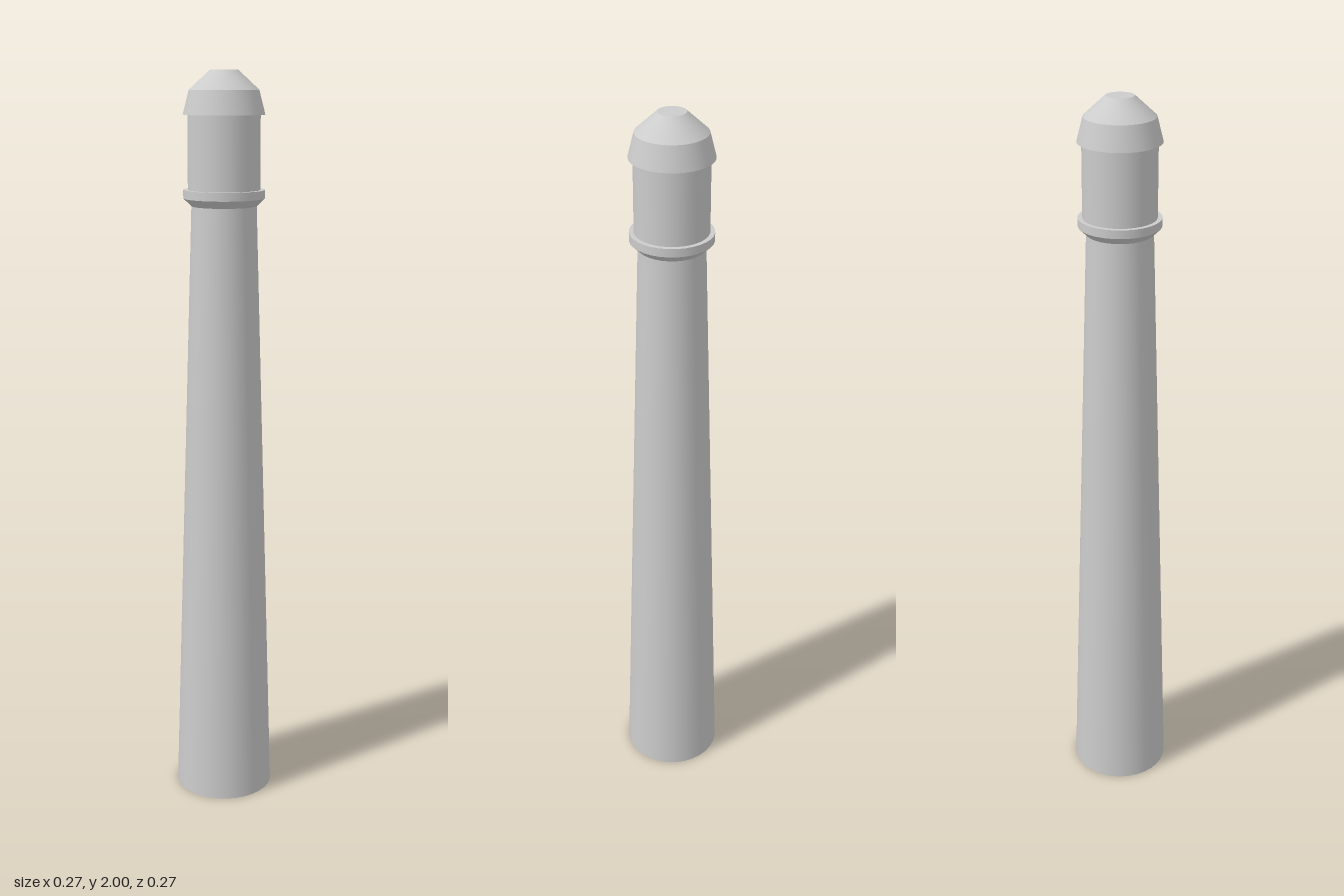
import * as THREE from 'three';
import { mergeGeometries } from 'three/addons/utils/BufferGeometryUtils.js';

const SIDES = 32;

// Turned part: one smooth band per profile step, with crisp edges between bands.
// A zero radius closes the part with a flat disc.
function turned(name, profile, material) {
  const bands = [];
  for (let i = 0; i < profile.length - 1; i++) {
    const pair = [profile[i], profile[i + 1]].map(([r, y]) => new THREE.Vector2(r, y));
    bands.push(new THREE.LatheGeometry(pair, SIDES));
  }
  const mesh = new THREE.Mesh(mergeGeometries(bands), material);
  mesh.name = name;
  return mesh;
}

export function createModel() {
  const model = new THREE.Group();
  model.name = 'taperedTower';
  const grey = new THREE.MeshStandardMaterial({ color: 0xcccccc });

  // Long tapering shaft with a closed base
  model.add(turned('shaft', [[0, 0], [0.135, 0], [0.086, 1.655]], grey));

  // Flared collar with a flat ledge on top
  model.add(turned('collar', [[0.086, 1.655], [0.107, 1.675], [0.107, 1.697], [0.095, 1.697]], grey));

  // Straight drum above the collar
  model.add(turned('drum', [[0.095, 1.697], [0.095, 1.888]], grey));

  // Faceted dome with a small overhang and a flat top
  model.add(turned('dome', [[0.095, 1.888], [0.107, 1.888], [0.091, 1.95], [0.036, 2], [0, 2]], grey));

  return model;
}
